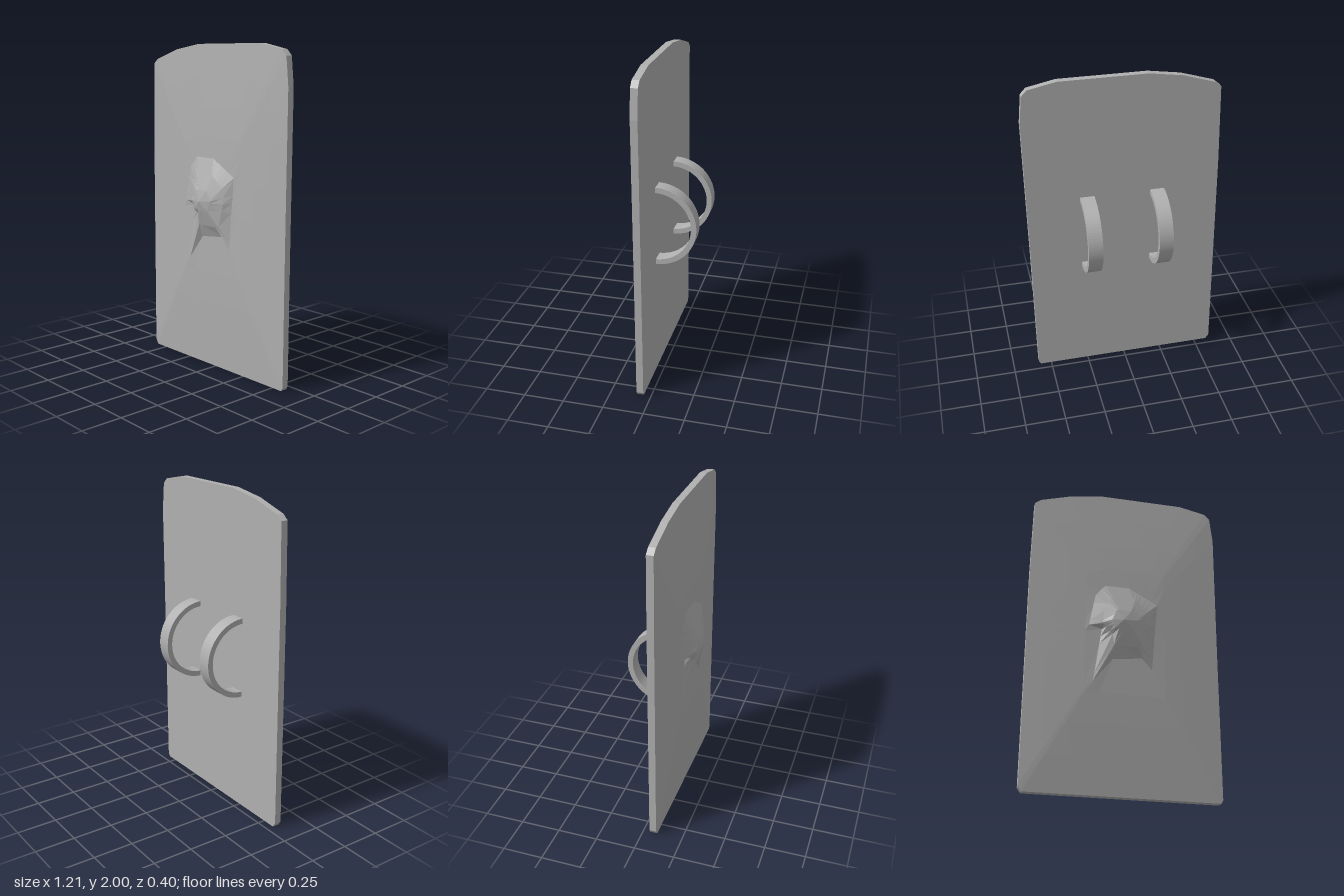
import * as THREE from 'three';

const steel = new THREE.MeshStandardMaterial({ color: 0xb0b0b0, flatShading: true });
steel.name = 'steel grey';

// Plate outline, counter-clockwise from the front
const OUTLINE = [
  [-0.585, 0], [0.57, 0], [0.583, 0.02], [0.59, 0.9], [0.6, 1.76], [0.583, 1.93],
  [0.55, 1.965], [0.38, 2], [-0.15, 2], [-0.35, 1.97], [-0.55, 1.91],
  [-0.587, 1.88], [-0.597, 1.4], [-0.605, 0.03],
];
const CENTRE = [0, 1.05];

// Boss cross-sections, from its foot to its blunt tip
const BOSS = [
  { z: 0.123, pts: [[-0.2, 0.68], [-0.08, 0.83], [0.1, 0.85], [0.16, 0.78], [0.2, 1.22],
    [0.13, 1.26], [0.02, 1.32], [-0.13, 1.32], [-0.19, 1.25], [-0.23, 1.04], [-0.15, 1.02]] },
  { z: 0.155, pts: [[-0.09, 0.98], [-0.08, 0.91], [0.1, 0.91], [0.14, 1.06], [0.13, 1.15],
    [0.05, 1.22], [-0.1, 1.22], [-0.14, 1.15], [-0.15, 1.05]] },
  { z: 0.185, pts: [[-0.08, 1.01], [-0.03, 1.0], [0.03, 1.01], [0.06, 1.07], [0.02, 1.13],
    [-0.07, 1.13], [-0.1, 1.06]] },
];
const TIP = [-0.03, 1.06, 0.2];

const angleOf = ([x, y]) => Math.atan2(y - CENTRE[1], x - CENTRE[0]);

// Where a ray from the centre meets a polygon
function rayHit(poly, a) {
  const dx = Math.cos(a), dy = Math.sin(a);
  let best = 0;
  poly.forEach(([x1, y1], i) => {
    const [x2, y2] = poly[(i + 1) % poly.length];
    const px = x1 - CENTRE[0], py = y1 - CENTRE[1], ex = x2 - x1, ey = y2 - y1;
    const den = dx * ey - dy * ex;
    if (Math.abs(den) < 1e-9) return;
    const t = (px * ey - py * ex) / den, u = (px * dy - py * dx) / den;
    if (u >= -1e-6 && u <= 1 + 1e-6) best = Math.max(best, t);
  });
  return [CENTRE[0] + dx * best, CENTRE[1] + dy * best];
}

// Domed face: shrinking copies of the outline that run into the boss
function domeGeometry() {
  const corners = [OUTLINE, ...BOSS.map((b) => b.pts)].flat().map(angleOf);
  const angles = corners.sort((a, b) => a - b).filter((a, i, l) => i === 0 || a - l[i - 1] > 0.01);
  const slope = [[1, 0.09], [0.8, 0.101], [0.6, 0.111], [0.42, 0.119]];
  const rings = slope.map(([s, z]) => angles.map((a) => {
    const [x, y] = rayHit(OUTLINE, a);
    return [CENTRE[0] + (x - CENTRE[0]) * s, CENTRE[1] + (y - CENTRE[1]) * s, z];
  }));
  BOSS.forEach((b) => rings.push(angles.map((a) => [...rayHit(b.pts, a), b.z])));
  rings.push(angles.map(() => TIP));

  const pos = [], n = angles.length;
  for (let r = 0; r < rings.length - 1; r++) {
    for (let i = 0; i < n; i++) {
      const j = (i + 1) % n, o = rings[r], q = rings[r + 1];
      pos.push(...o[i], ...o[j], ...q[i]);
      if (r < rings.length - 2) pos.push(...o[j], ...q[j], ...q[i]);
    }
  }
  const g = new THREE.BufferGeometry();
  g.setAttribute('position', new THREE.Float32BufferAttribute(pos, 3));
  g.computeVertexNormals();
  return g;
}

// Half-ring grip standing out from the back
function gripGeometry(width) {
  const s = new THREE.Shape();
  s.absarc(0, 0, 0.25, -Math.PI / 2, Math.PI / 2, false);
  s.absarc(0, 0, 0.217, Math.PI / 2, -Math.PI / 2, true);
  const g = new THREE.ExtrudeGeometry(s, { depth: width, bevelEnabled: false, curveSegments: 24 });
  return g.rotateY(Math.PI / 2);
}

export function createModel() {
  const group = new THREE.Group();
  group.name = 'shield';
  const add = (name, geometry, x = 0, y = 0, z = 0) => {
    const mesh = new THREE.Mesh(geometry, steel);
    mesh.name = name;
    mesh.position.set(x, y, z);
    group.add(mesh);
  };

  // Flat backing plate
  const shape = new THREE.Shape(OUTLINE.map(([x, y]) => new THREE.Vector2(x, y)));
  add('backPlate', new THREE.ExtrudeGeometry(shape, { depth: 0.043, bevelEnabled: false }), 0, 0, 0.046);

  add('domedFace', domeGeometry());

  // Arm grips
  const grip = gripGeometry(0.088);
  add('rightGrip', grip, -0.255, 0.995, 0.048);
  add('leftGrip', grip, 0.181, 0.995, 0.048);
  return group;
}
